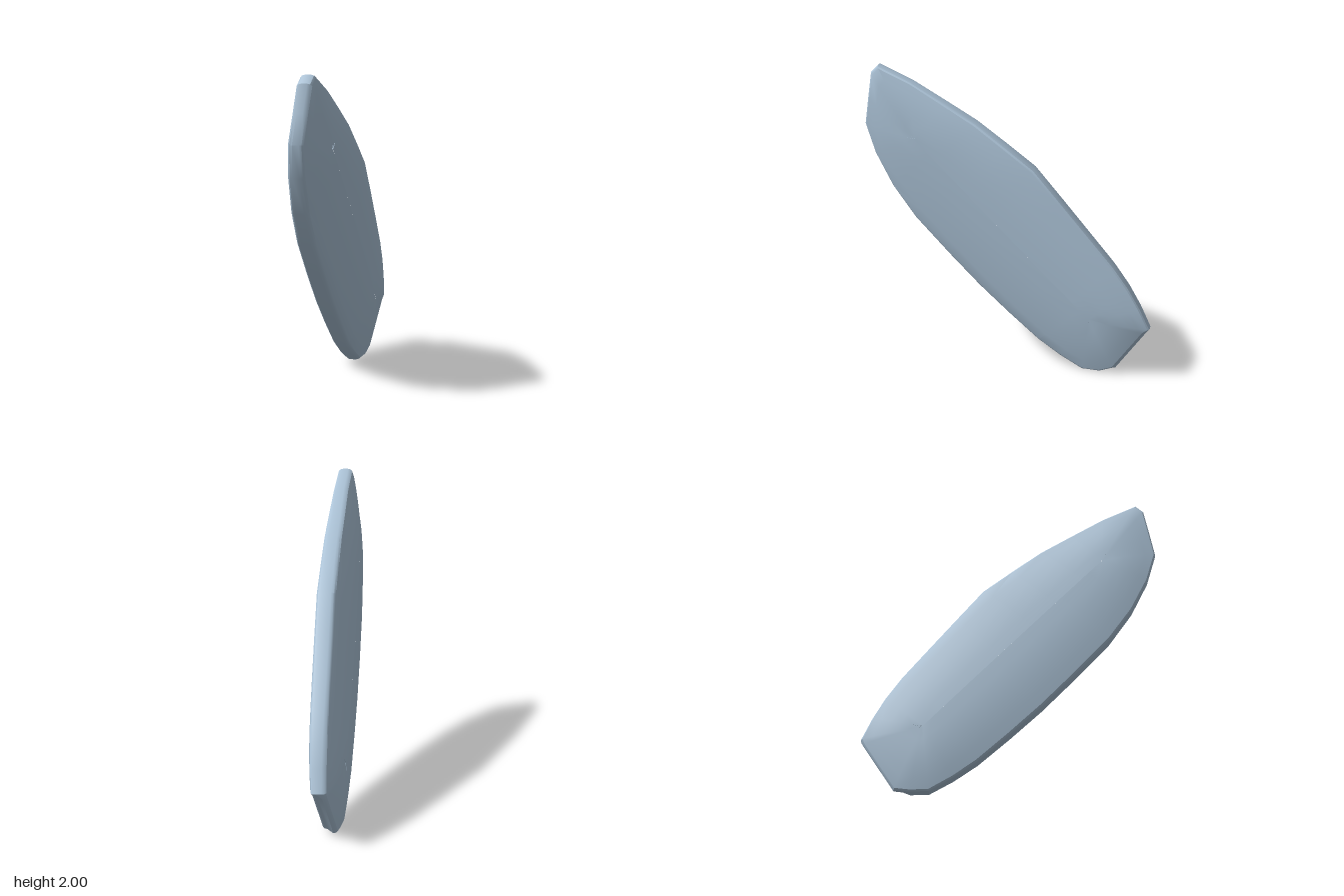
import * as THREE from 'three';
import { toCreasedNormals } from 'three/addons/utils/BufferGeometryUtils.js';

// Outline of the slab in (z, y), clockwise as seen from +x
const OUTLINE = [
  [0.84, 2], [0.62, 1.91], [0.4, 1.79], [0.2, 1.68], [0, 1.54], [-0.18, 1.41],
  [-0.36, 1.2], [-0.53, 1.0], [-0.7, 0.8], [-0.8, 0.66], [-0.88, 0.52], [-0.945, 0.38],
  [-0.93, 0.345], [-0.72, 0.02], [-0.62, 0.003], [-0.5, 0], [-0.35, 0.08], [-0.2, 0.18],
  [0, 0.35], [0.2, 0.53], [0.4, 0.73], [0.63, 0.97], [0.78, 1.18], [0.89, 1.4],
  [0.95, 1.6], [0.92, 1.78], [0.89, 1.95],
].map(([z, y]) => new THREE.Vector2(z, y));
const END_CUT = [12, 13]; // corners of the slanted lower end

// Ridge line along the middle of both domed faces
const RIDGE_A = new THREE.Vector2(-0.55, 0.42);
const RIDGE_B = new THREE.Vector2(0.6, 1.55);
const BULGE = 0.055;

// [distance from ridge 0..1, rounding taken off the thickness]
const HALF = [[0, 0], [0.2, 0], [0.4, 0], [0.6, 0], [0.8, 0], [0.965, 0], [0.99, 0.008], [1, 0.024]];

function slabGeometry() {
  const rings = [
    ...HALF.map(([s, cut]) => [s, cut, 1]),
    ...HALF.slice().reverse().map(([s, cut]) => [s, cut, -1]),
  ];
  const axis = RIDGE_B.clone().sub(RIDGE_A);
  const positions = [];
  for (const [s, cut, side] of rings) {
    OUTLINE.forEach((p, j) => {
      const along = p.clone().sub(RIDGE_A).dot(axis) / axis.lengthSq();
      const t = THREE.MathUtils.clamp(along, 0, 1);
      const foot = RIDGE_A.clone().addScaledVector(axis, t);
      // the lower end is chamfered on the +x side
      const reach = END_CUT.includes(j) && side > 0 ? s * 0.94 : s;
      const q = foot.lerp(p, reach);
      const u = 2 * along - 1;
      const rim = 0.056 - 0.007 * Math.min(u * u, 2);
      const half = rim - cut + BULGE * (1 - s * s);
      // the whole slab leans and turns slightly
      const middle = -0.17 * q.x + 0.09 * (q.y - 1);
      positions.push(middle + side * half, q.y, q.x);
    });
  }
  const n = OUTLINE.length;
  const index = [];
  for (let i = 0; i < rings.length - 1; i++) {
    for (let j = 0; j < n; j++) {
      const k = (j + 1) % n;
      const a = i * n + j, b = i * n + k, c = a + n, d = b + n;
      index.push(a, d, c, a, b, d);
    }
  }
  const geometry = new THREE.BufferGeometry();
  geometry.setAttribute('position', new THREE.Float32BufferAttribute(positions, 3));
  geometry.setIndex(index);
  return toCreasedNormals(geometry, 0.5);
}

export function createModel() {
  const paleBlue = new THREE.MeshStandardMaterial({ color: 0xabc2d6 });
  paleBlue.name = 'pale steel blue';

  const slab = new THREE.Mesh(slabGeometry(), paleBlue);
  slab.name = 'domedSlab';

  const model = new THREE.Group();
  model.name = 'curvedPanel';
  model.add(slab);
  return model;
}
